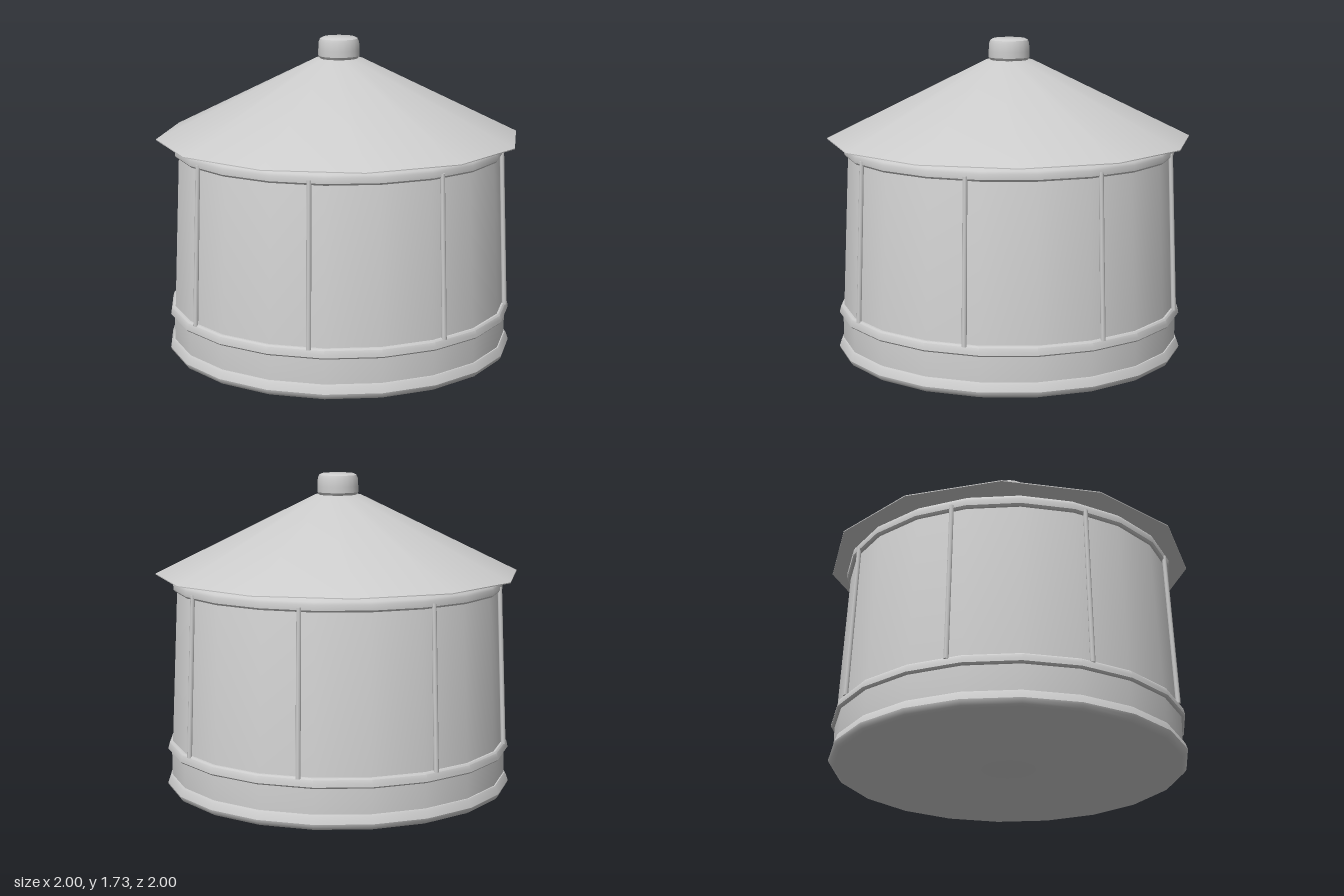
import * as THREE from 'three';
import { toCreasedNormals } from 'three/addons/utils/BufferGeometryUtils.js';

const SIDES = 20;

export function createModel() {
  const model = new THREE.Group();
  model.name = 'roundTank';
  const grey = new THREE.MeshStandardMaterial({ color: 0xcccccc });
  grey.name = 'plain grey';

  // Turned part from a [radius, height] profile, bottom to top
  const turn = (name, profile, sides = SIDES) => {
    const points = profile.map(([r, y]) => new THREE.Vector2(r, y));
    const mesh = new THREE.Mesh(toCreasedNormals(new THREE.LatheGeometry(points, sides), 0.55), grey);
    mesh.name = name;
    model.add(mesh);
  };

  // Tapered wall with a closed floor
  turn('wall', [[0, 0.005], [0.93, 0.005], [0.93, 0.24], [0.924, 0.27], [0.885, 1.12], [0.86, 1.18]]);

  // Rounded hoops around the wall
  turn('baseHoop', [
    [0, 0], [0.925, 0], [0.94, 0.008], [0.952, 0.024], [0.955, 0.035],
    [0.943, 0.07], [0.936, 0.08], [0.92, 0.082],
  ]);
  turn('middleHoop', [
    [0.92, 0.217], [0.943, 0.218], [0.95, 0.226], [0.948, 0.24],
    [0.942, 0.262], [0.934, 0.27], [0.91, 0.272],
  ]);
  turn('topHoop', [
    [0.87, 1.1], [0.898, 1.102], [0.906, 1.112], [0.906, 1.14],
    [0.899, 1.154], [0.875, 1.172], [0.855, 1.184],
  ]);

  // Twelve-sided roof with a flat underside
  turn('roof', [[0, 1.183], [1, 1.183], [1, 1.188], [0.13, 1.613], [0, 1.618]], 12);

  // Rounded cap at the peak
  turn('cap', [
    [0, 1.61], [0.1, 1.61], [0.113, 1.628], [0.113, 1.66], [0.11, 1.705],
    [0.103, 1.721], [0.086, 1.73], [0, 1.73],
  ]);

  // Eight leaning ribs on the wall
  const low = new THREE.Vector3(0, 0.262, 0.93);
  const high = new THREE.Vector3(0, 1.127, 0.895);
  const along = high.clone().sub(low);
  const ribGeometry = new THREE.CylinderGeometry(0.0125, 0.0135, along.length(), 8);
  ribGeometry.applyQuaternion(
    new THREE.Quaternion().setFromUnitVectors(new THREE.Vector3(0, 1, 0), along.clone().normalize()));
  const middle = low.clone().add(high).multiplyScalar(0.5);
  ribGeometry.translate(middle.x, middle.y, middle.z);
  for (let i = 0; i < 8; i++) {
    const rib = new THREE.Mesh(ribGeometry, grey);
    rib.name = 'rib' + (i + 1);
    rib.rotation.y = THREE.MathUtils.degToRad(13.1 + i * 45);
    model.add(rib);
  }

  return model;
}
